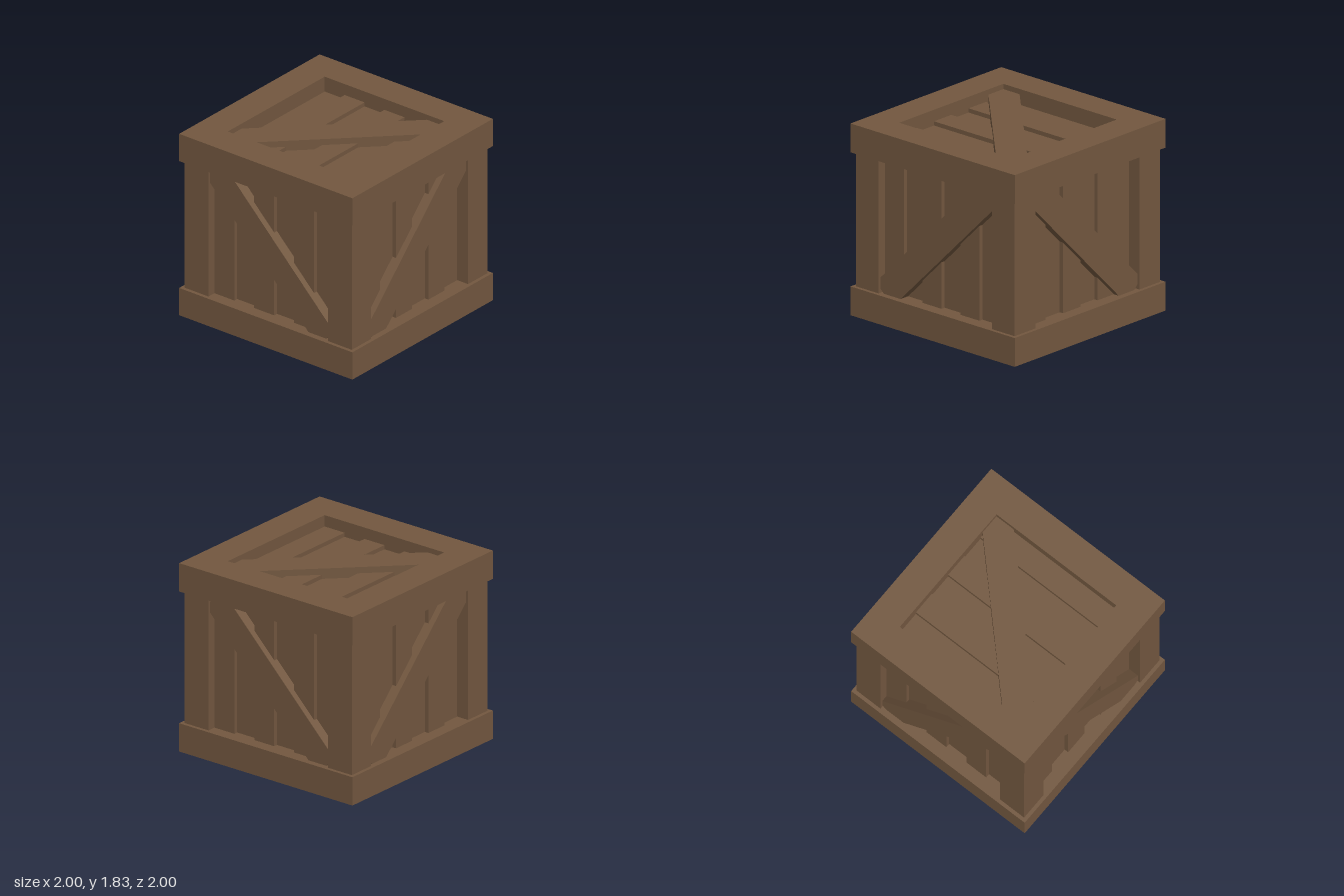
import * as THREE from 'three';

const wood = new THREE.MeshStandardMaterial({ color: 0x72573f, flatShading: true });
const H = 1.83;        // total height
const BAND = 0.275;    // height of the frame bands
const IN = 0.69;       // half width of each opening
const OUT = 0.965;     // outer face of the corner posts
const PLANK = (2 * IN) / 6;

function box(name, w, h, d, x, y, z) {
  const mesh = new THREE.Mesh(new THREE.BoxGeometry(w, h, d), wood);
  mesh.name = name;
  mesh.position.set(x, y, z);
  return mesh;
}

// Square frame with an open centre, lying flat with its underside at y
function band(name, y) {
  const square = (path, s) => path.moveTo(-s, -s).lineTo(s, -s).lineTo(s, s).lineTo(-s, s).closePath();
  const shape = square(new THREE.Shape(), 1);
  shape.holes.push(square(new THREE.Path(), IN));
  const geo = new THREE.ExtrudeGeometry(shape, { depth: BAND, bevelEnabled: false });
  geo.rotateX(-Math.PI / 2);
  const mesh = new THREE.Mesh(geo, wood);
  mesh.name = name;
  mesh.position.y = y;
  return mesh;
}

// One wall facing +z: six upright planks, alternately set back, and a diagonal brace
function wall(name, lean) {
  const g = new THREE.Group();
  g.name = name;
  for (let i = 0; i < 6; i++) {
    const face = i % 2 ? 0.84 : 0.88;
    g.add(box('wallPlank', PLANK, H - 2 * BAND, 0.1, -IN + (i + 0.5) * PLANK, H / 2, face - 0.05));
  }
  const brace = box('wallBrace', 1.824, 0.276, 0.1, 0, H / 2, 0.89);
  brace.rotation.z = (lean * Math.PI) / 4;
  g.add(brace);
  return g;
}

export function createModel() {
  const crate = new THREE.Group();
  crate.name = 'crate';

  crate.add(band('bottomFrame', 0), band('topFrame', H - BAND));

  // Corner posts
  const c = (IN + OUT) / 2;
  for (const x of [-c, c]) {
    for (const z of [-c, c]) {
      crate.add(box('cornerPost', OUT - IN, H - 2 * BAND, OUT - IN, x, H / 2, z));
    }
  }

  // Four walls, with braces leaning in alternating directions
  ['frontWall', 'leftWall', 'backWall', 'rightWall'].forEach((name, i) => {
    const w = wall(name, i % 2 ? -1 : 1);
    w.rotation.y = (i * Math.PI) / 2;
    crate.add(w);
  });

  // Lid and floor planks, recessed in the frames
  for (let i = 0; i < 6; i++) {
    const z = -IN + (i + 0.5) * PLANK;
    const inset = i % 2 ? 0.11 : 0.15;
    crate.add(box('lidPlank', 2 * IN, 0.1, PLANK, 0, H - inset - 0.05, z));
    crate.add(box('floorPlank', 2 * IN, 0.1, PLANK, 0, inset + 0.05, z));
  }

  // Diagonal brace across the lid
  const lidBrace = box('lidBrace', 2, 0.1, 0.28, 0, 1.73, 0);
  lidBrace.rotation.y = -Math.PI / 4;
  crate.add(lidBrace);

  return crate;
}
